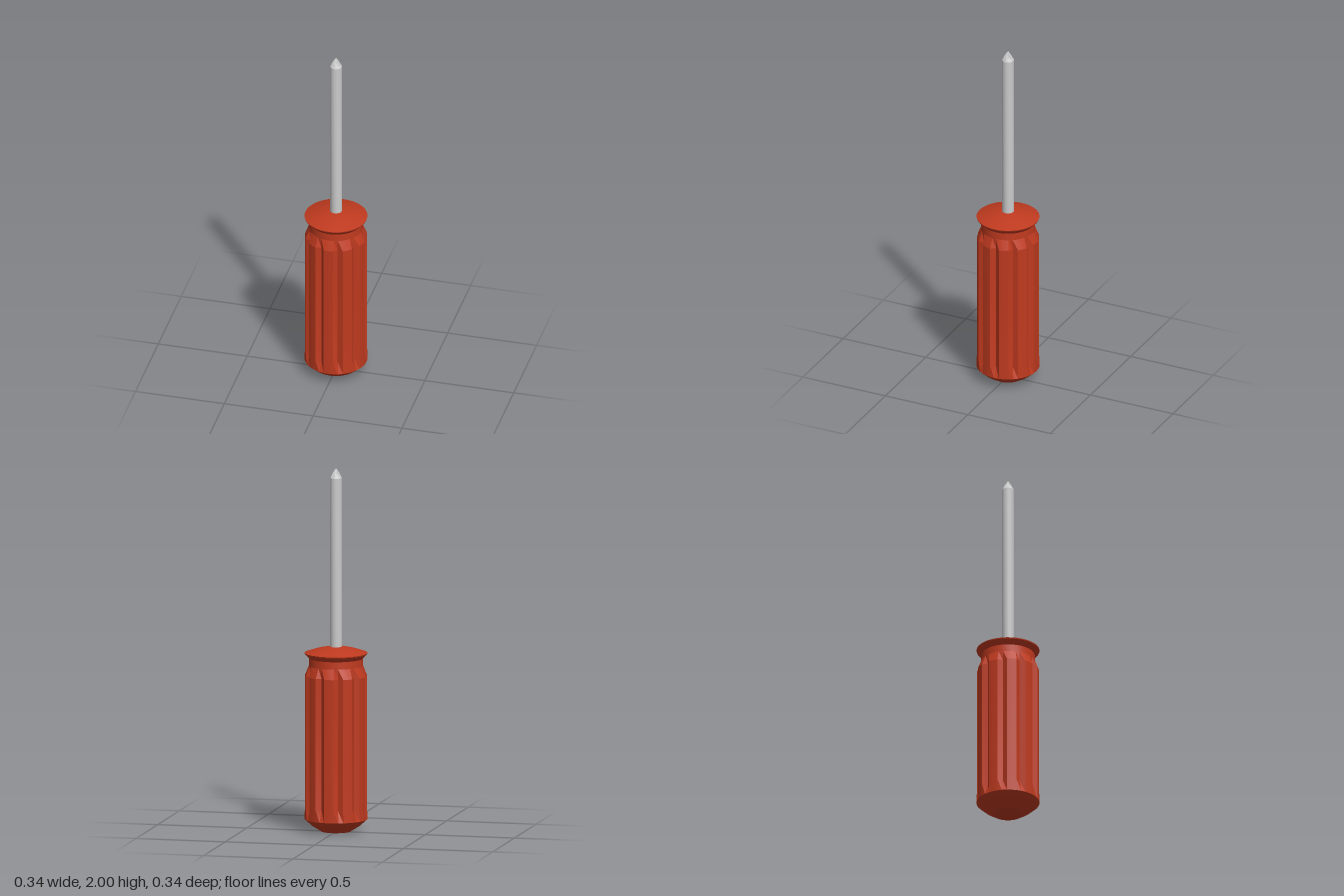
import * as THREE from 'three';
import { toCreasedNormals } from 'three/addons/utils/BufferGeometryUtils.js';

const red = new THREE.MeshStandardMaterial({ color: 0xbf3a1f });
const grey = new THREE.MeshStandardMaterial({ color: 0xcccccc });

// Lathe a list of [radius, height] points; shape(x, y, segment) may scale the radius.
function turned(name, points, segments, material, crease, scale) {
  const geometry = new THREE.LatheGeometry(points.map(([r, y]) => new THREE.Vector2(r, y)), segments);
  const pos = geometry.attributes.position;
  if (scale) {
    for (let i = 0; i < pos.count; i++) {
      const segment = Math.floor(i / points.length) % segments;
      const k = scale(segment, i % points.length);
      pos.setXYZ(i, pos.getX(i) * k, pos.getY(i), pos.getZ(i) * k);
    }
  }
  const mesh = new THREE.Mesh(toCreasedNormals(geometry, crease), material);
  mesh.name = name;
  return mesh;
}

export function createModel() {
  const model = new THREE.Group();
  model.name = 'screwdriver';

  // Grip: rounded butt, ten shallow flutes, then a shoulder and neck
  const grip = [
    [0, 0], [0.08, 0.002], [0.13, 0.033], [0.172, 0.07],
    [0.17, 0.135], [0.17, 0.86], [0.148, 0.915], [0.146, 0.96],
  ];
  model.add(turned('grip', grip, 40, red, 0.28, (segment, ring) =>
    segment % 4 === 2 && (ring === 4 || ring === 5) ? 0.88 : 1));

  // Collar: flared rim with a low conical top
  const collar = [[0.146, 0.955], [0.17, 0.98], [0.172, 0.986], [0.11, 1.006], [0.045, 1.02], [0, 1.02]];
  model.add(turned('collar', collar, 40, red, 0.3));

  // Round steel shaft
  model.add(turned('shaft', [[0.033, 1.0], [0.033, 1.95]], 16, grey, 0.6));

  // Pointed cross tip with four notches
  const tip = [[0.033, 1.95], [0.018, 1.978], [0.004, 2], [0, 2]];
  model.add(turned('crossTip', tip, 16, grey, 0.3, (segment, ring) =>
    segment % 4 === 2 && ring === 1 ? 0.6 : 1));

  return model;
}
